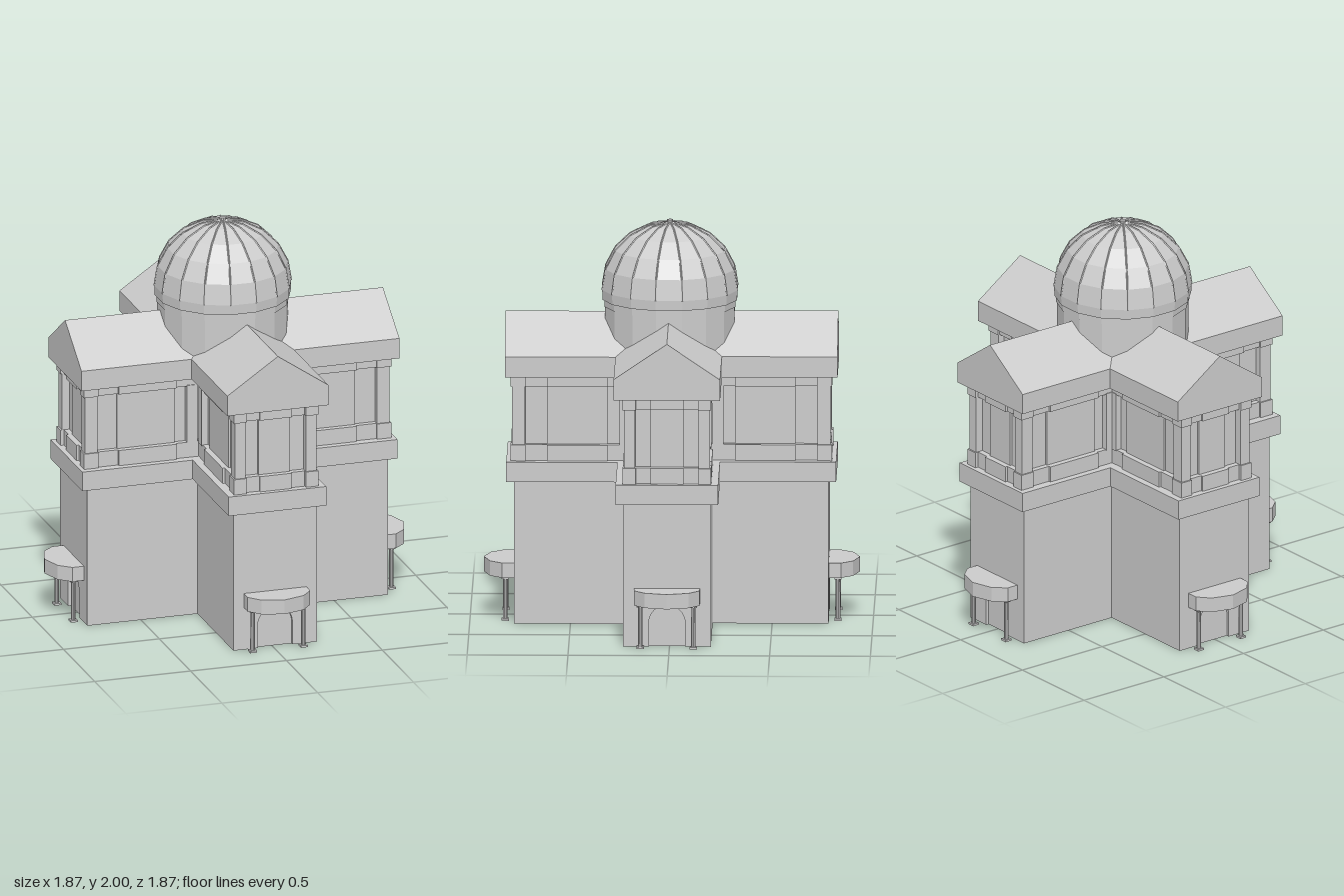
import * as THREE from 'three';
import { mergeGeometries } from 'three/addons/utils/BufferGeometryUtils.js';

const grey = new THREE.MeshStandardMaterial({ color: 0xcccccc, flatShading: true });
const thin = new THREE.MeshStandardMaterial({ color: 0xcccccc, flatShading: true, side: THREE.DoubleSide });
const SHIFT = 0.0125; // sideways shift of each wing

function add(parent, name, geometry, x = 0, y = 0, z = 0, material = grey) {
  const mesh = new THREE.Mesh(geometry, material);
  mesh.name = name;
  mesh.position.set(x, y, z);
  parent.add(mesh);
  return mesh;
}

// Box given by its bottom and top heights
function block(parent, name, w, d, y0, y1, x, z) {
  return add(parent, name, new THREE.BoxGeometry(w, y1 - y0, d), x, (y0 + y1) / 2, z);
}

// Cross-shaped floor plan as [x, z]; every third edge is the end of a wing
function crossPlan(half, reach) {
  const a = half - SHIFT, b = half + SHIFT, r = reach;
  return [[-a, r], [b, r], [b, b], [r, b], [r, -a], [a, -a],
    [a, -r], [-b, -r], [-b, -b], [-r, -b], [-r, a], [-a, a]];
}

function crossSlab(parent, name, half, reach, y0, y1) {
  const shape = new THREE.Shape(crossPlan(half, reach).map(([x, z]) => new THREE.Vector2(x, -z)));
  const geo = new THREE.ExtrudeGeometry(shape, { depth: y1 - y0, bevelEnabled: false });
  add(parent, name, geo.rotateX(-Math.PI / 2), 0, y0, 0);
}

// Side walls of the ground storey, open underneath
function sideWalls() {
  const plan = crossPlan(0.2175, 0.78), walls = [];
  plan.forEach(([x, z], i) => {
    if (i % 3 === 0) return;
    const [x2, z2] = plan[(i + 1) % plan.length];
    const wall = new THREE.PlaneGeometry(Math.hypot(x2 - x, z2 - z), 0.73);
    wall.rotateY(-Math.atan2(z2 - z, x2 - x));
    walls.push(wall.translate((x + x2) / 2, 0.365, (z + z2) / 2));
  });
  return mergeGeometries(walls);
}

function doorArch(path, first) {
  if (first) path.moveTo(-0.09, 0); else path.lineTo(-0.09, 0);
  path.lineTo(-0.09, 0.12);
  path.absarc(0, 0.12, 0.09, Math.PI, 0, true);
  path.lineTo(0.09, 0);
  return path;
}

function porch(wing) {
  const g = new THREE.Group();
  g.name = 'porch';
  wing.add(g);
  // Canopy with a faceted front
  const outline = [[-0.163, -0.77], [-0.163, -0.84], [-0.11, -0.9], [0, -0.933],
    [0.11, -0.9], [0.163, -0.84], [0.163, -0.77]].map(p => new THREE.Vector2(...p));
  const canopy = new THREE.ExtrudeGeometry(new THREE.Shape(outline), { depth: 0.075, bevelEnabled: false });
  add(g, 'canopy', canopy.rotateX(-Math.PI / 2), 0, 0.22, 0);
  for (const s of [-1, 1]) {
    add(g, 'column', new THREE.CylinderGeometry(0.011, 0.012, 0.21, 10), s * 0.132, 0.115, 0.825);
    block(g, 'columnBase', 0.036, 0.036, 0, 0.01, s * 0.132, 0.825);
    block(g, 'columnCap', 0.034, 0.034, 0.21, 0.222, s * 0.132, 0.825);
  }
}

function endWall(wing) {
  // Wall with an arched doorway and a door set back in it
  const wall = new THREE.Shape();
  wall.moveTo(-0.2175, 0.73);
  wall.lineTo(-0.2175, 0);
  doorArch(wall, false);
  wall.lineTo(0.2175, 0);
  wall.lineTo(0.2175, 0.73);
  const geo = new THREE.ExtrudeGeometry(wall, { depth: 0.02, bevelEnabled: false, curveSegments: 10 });
  add(wing, 'endWall', geo, 0, 0, 0.76, thin);
  add(wing, 'door', new THREE.ShapeGeometry(doorArch(new THREE.Shape(), true), 10), 0, 0, 0.765, thin);
}

function upperStorey(wing) {
  const bands = [[0.825, 0.905], [1.2, 1.257]];
  for (const s of [-1, 1]) {
    // Posts at the outer corners and where wings meet
    block(wing, 'cornerPost', 0.055, 0.065, 0.9, 1.205, s * 0.185, 0.757);
    block(wing, 'innerPost', 0.04, 0.055, 0.9, 1.205, s * 0.1925, 0.23);
    block(wing, 'sidePanel', 0.02, 0.3, 0.9, 1.205, s * 0.18, 0.466);
    for (const [y0, y1] of bands) {
      block(wing, 'cornerBlock', 0.065, 0.075, y0, y1, s * 0.187, 0.76);
      block(wing, 'sideBandBlock', 0.03, 0.3, y0, y1, s * 0.205, 0.466);
    }
  }
  block(wing, 'endPanel', 0.164, 0.02, 0.9, 1.205, 0, 0.752);
  for (const [y0, y1] of bands) block(wing, 'endBandBlock', 0.164, 0.03, y0, y1, 0, 0.777);
}

function roof(wing) {
  const gable = new THREE.Shape([[-0.264, 1.255], [0.264, 1.255], [0.264, 1.36], [0, 1.54], [-0.264, 1.36]]
    .map(p => new THREE.Vector2(...p)));
  add(wing, 'gableRoof', new THREE.ExtrudeGeometry(gable, { depth: 0.825, bevelEnabled: false }));
}

function dome() {
  const g = new THREE.Group();
  g.name = 'domeTower';
  g.position.set(-0.01, 0, 0.01);
  const turn = Math.PI / 16, sides = 16, radius = 0.342, centre = 1.655;
  // Drum, collar and dome share one sixteen-sided outline
  const lathe = (name, pts) => {
    const geo = new THREE.LatheGeometry(pts.map(p => new THREE.Vector2(...p)), sides);
    add(g, name, geo.rotateY(turn), 0, 0, 0, thin);
  };
  lathe('drum', [[0.327, 1.26], [0.327, 1.57], [0.331, 1.57], [0.331, 1.61]]);
  const arc = [[0.325, 1.605], [0.34, 1.605]];
  for (let i = 0; i <= 5; i++) {
    const t = i * Math.PI / 10;
    arc.push([Math.max(radius * Math.cos(t), 0), centre + 0.333 * Math.sin(t)]);
  }
  lathe('dome', arc);
  // Thin ribs along the edges of the dome
  const ribPath = new THREE.CurvePath();
  for (let i = 2; i < arc.length - 1; i++) {
    ribPath.add(new THREE.LineCurve3(new THREE.Vector3(...arc[i], 0), new THREE.Vector3(...arc[i + 1], 0)));
  }
  const rib = new THREE.TubeGeometry(ribPath, 20, 0.004, 4, false);
  for (let i = 0; i < sides; i++) {
    add(g, 'domeRib', rib).rotation.y = turn + i * 2 * turn;
  }
  add(g, 'finial', new THREE.CylinderGeometry(0.016, 0.016, 0.025, 10), 0, 1.9875, 0);
  return g;
}

export function createModel() {
  const model = new THREE.Group();
  model.name = 'domedBuilding';
  add(model, 'sideWalls', sideWalls(), 0, 0, 0, thin);
  crossSlab(model, 'ledge', 0.2545, 0.818, 0.725, 0.825);
  crossSlab(model, 'upperWalls', 0.18, 0.75, 0.825, 1.256);
  crossSlab(model, 'lowerBand', 0.208, 0.78, 0.825, 0.905);
  crossSlab(model, 'upperBand', 0.208, 0.78, 1.2, 1.256);
  // Four wings around the dome
  for (let i = 0; i < 4; i++) {
    const arm = new THREE.Group();
    arm.name = ['frontWing', 'leftWing', 'backWing', 'rightWing'][i];
    arm.rotation.y = i * Math.PI / 2;
    const wing = new THREE.Group();
    wing.name = 'wingParts';
    wing.position.x = i % 2 ? -SHIFT : SHIFT;
    arm.add(wing);
    endWall(wing);
    porch(wing);
    upperStorey(wing);
    roof(wing);
    model.add(arm);
  }
  model.add(dome());
  return model;
}
